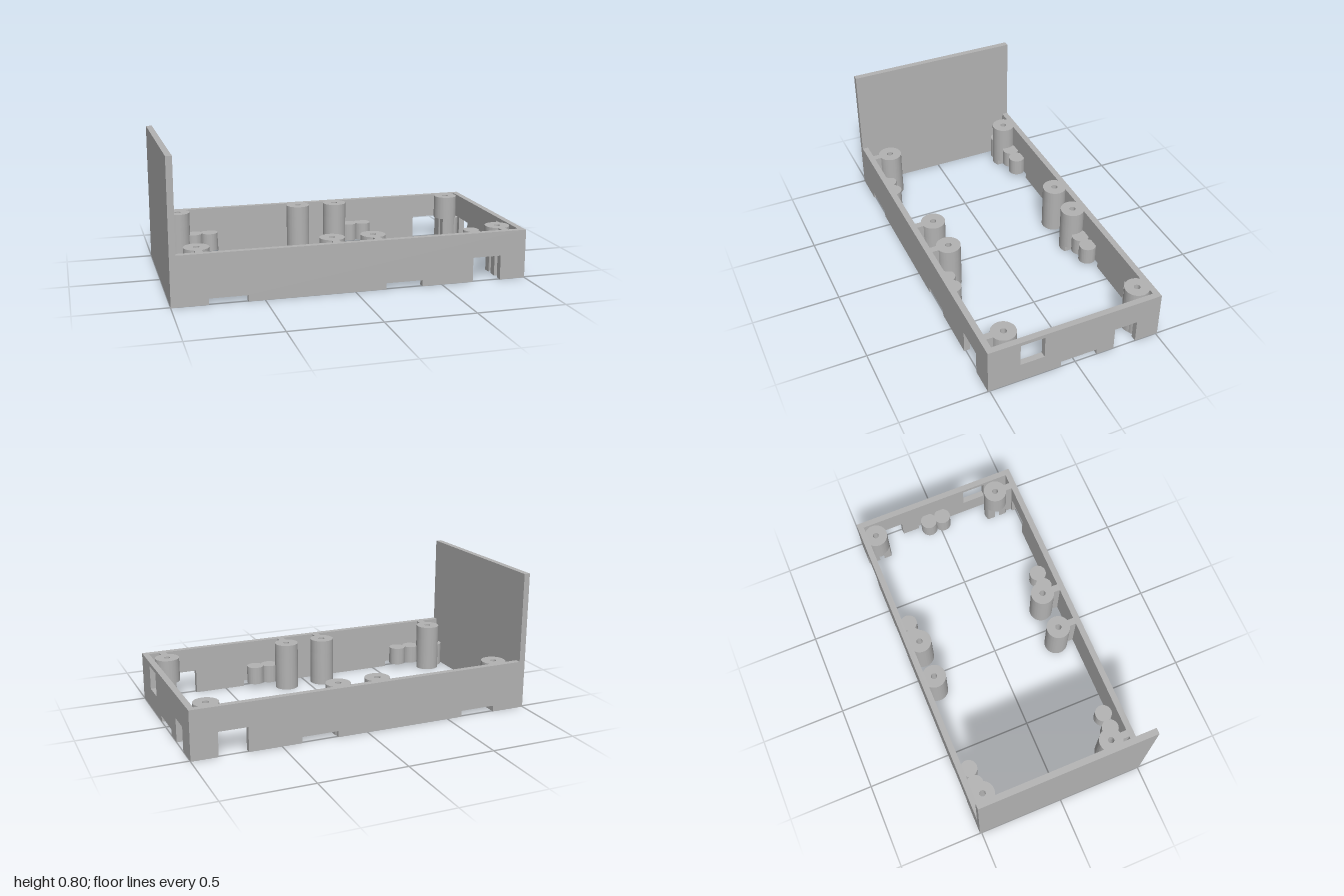
import * as THREE from 'three';
import { toCreasedNormals } from 'three/addons/utils/BufferGeometryUtils.js';

const H = 0.28, T = 0.035, POST_R = 0.07, BORE_R = 0.038;

export function createModel() {
  const model = new THREE.Group();
  model.name = 'enclosureFrame';
  const plastic = new THREE.MeshStandardMaterial({ color: 0xb2b2b2 });
  plastic.name = 'grey plastic';

  const add = (name, geo, x = 0, y = 0, z = 0, parent = model) => {
    const m = new THREE.Mesh(geo, plastic);
    m.name = name;
    m.position.set(x, y, z);
    parent.add(m);
    return m;
  };
  const box = (name, x0, x1, y0, y1, z0, z1) =>
    add(name, new THREE.BoxGeometry(x1 - x0, y1 - y0, z1 - z0), (x0 + x1) / 2, (y0 + y1) / 2, (z0 + z1) / 2);

  // Upright wall outline with notches [from, to, height] along its bottom edge
  const wallShape = (a, b, notches) => {
    const s = new THREE.Shape().moveTo(a, 0);
    for (const [p, q, h] of notches) s.lineTo(p, 0).lineTo(p, h).lineTo(q, h).lineTo(q, 0);
    return s.lineTo(b, 0).lineTo(b, H).lineTo(a, H).closePath();
  };
  const extrude = (shape, depth) =>
    new THREE.ExtrudeGeometry(shape, { depth, bevelEnabled: false, curveSegments: 40 });
  // Plan shape (x, z) extruded between two heights
  const slab = (shape, y0, y1) =>
    toCreasedNormals(extrude(shape, y1 - y0).rotateX(Math.PI / 2).translate(0, y1, 0), 0.6);
  const hole = (shape, r) => {
    shape.holes.push(new THREE.Path().absarc(0, 0, r, 0, Math.PI * 2, true));
    return shape;
  };
  const disc = r => new THREE.Shape().absarc(0, 0, r, 0, Math.PI * 2, false);

  // Walls
  box('tallEndWall', -1, -1 + T, 0, 0.8, -0.51, 0.51);
  const sideNotches = [[-0.8, -0.59, 0.035], [0.175, 0.385, 0.035], [0.685, 0.85, 0.14]];
  const sideWall = extrude(wallShape(-1 + T, 1, sideNotches), T);
  add('frontWall', sideWall, 0, 0, 0.51 - T);
  add('backWall', sideWall, 0, 0, -0.51);

  const endShape = wallShape(-0.51 + T, 0.51 - T, [[-0.37, -0.235, 0.14], [-0.13, 0.085, 0.035]]);
  endShape.holes.push(new THREE.Path().moveTo(0.185, 0.118).lineTo(0.185, 0.257)
    .lineTo(0.325, 0.257).lineTo(0.325, 0.118).closePath());
  add('lowEndWall', extrude(endShape, T).rotateY(-Math.PI / 2), 1);

  // Foot outlines of the screw posts, cut where a notch runs into them
  const cut = Math.acos(0.04 / POST_R);
  const feet = {
    whole: () => hole(disc(POST_R), BORE_R),
    back: () => hole(new THREE.Shape().absarc(0, 0, POST_R, cut, Math.PI * 2 - cut, false).closePath(), BORE_R),
    front: () => hole(new THREE.Shape().absarc(0, 0, POST_R, cut, Math.PI * 2 + 0.07, false)
      .lineTo(0.04, 0.005).closePath(), BORE_R),
    open: () => {
      const o = Math.acos(-0.035 / POST_R), i = Math.acos(-0.035 / BORE_R);
      return new THREE.Shape().absarc(0, 0, POST_R, -o, o, false).absarc(0, 0, BORE_R, i, -i, true).closePath();
    }
  };

  // Screw posts: notched foot, wide bore, narrow screw hole at the top
  const post = (x, z, foot, cutHeight) => {
    const g = new THREE.Group();
    g.name = 'screwPost';
    g.position.set(x, 0, z);
    add('postFoot', slab(feet[foot](), 0, cutHeight), 0, 0, 0, g);
    add('postShaft', slab(feet.whole(), cutHeight, 0.2), 0, 0, 0, g);
    add('postTop', slab(hole(disc(POST_R), 0.018), 0.2, H), 0, 0, 0, g);
    model.add(g);
  };
  for (const x of [-0.84, -0.095, 0.14, 0.885]) {
    const notched = x === -0.84 || x === 0.14;
    const h = x === 0.885 ? 0.14 : 0.035;
    const kind = side => (x === 0.885 ? 'open' : notched ? side : 'whole');
    post(x, -0.425, kind('back'), h);
    post(x, 0.37, kind('front'), h);
    box('frontPostRib', x - 0.02, x + 0.02, 0, H, 0.43, 0.476);
    box('backPostRib', x - 0.03, x + 0.03, h, H, -0.476, -0.47);
  }

  // Short bosses with a blind hole underneath
  const boss = (x, z, y0) => {
    const g = new THREE.Group();
    g.name = 'shortBoss';
    g.position.set(x, 0, z);
    add('bossSleeve', slab(hole(disc(0.05), 0.02), y0, 0.1), 0, 0, 0, g);
    add('bossCap', slab(disc(0.05), 0.1, 0.14), 0, 0, 0, g);
    model.add(g);
  };
  for (const x of [-0.745, -0.65, 0.235, 0.325]) {
    boss(x, -0.435, 0.035);
    boss(x, 0.425, 0.035);
  }
  for (const z of [-0.07, 0.02]) boss(0.92, z, 0.035);
  for (const x of [-0.91, 0.92]) {
    boss(x, -0.42, 0);
    boss(x, 0.415, 0);
  }
  return model;
}
